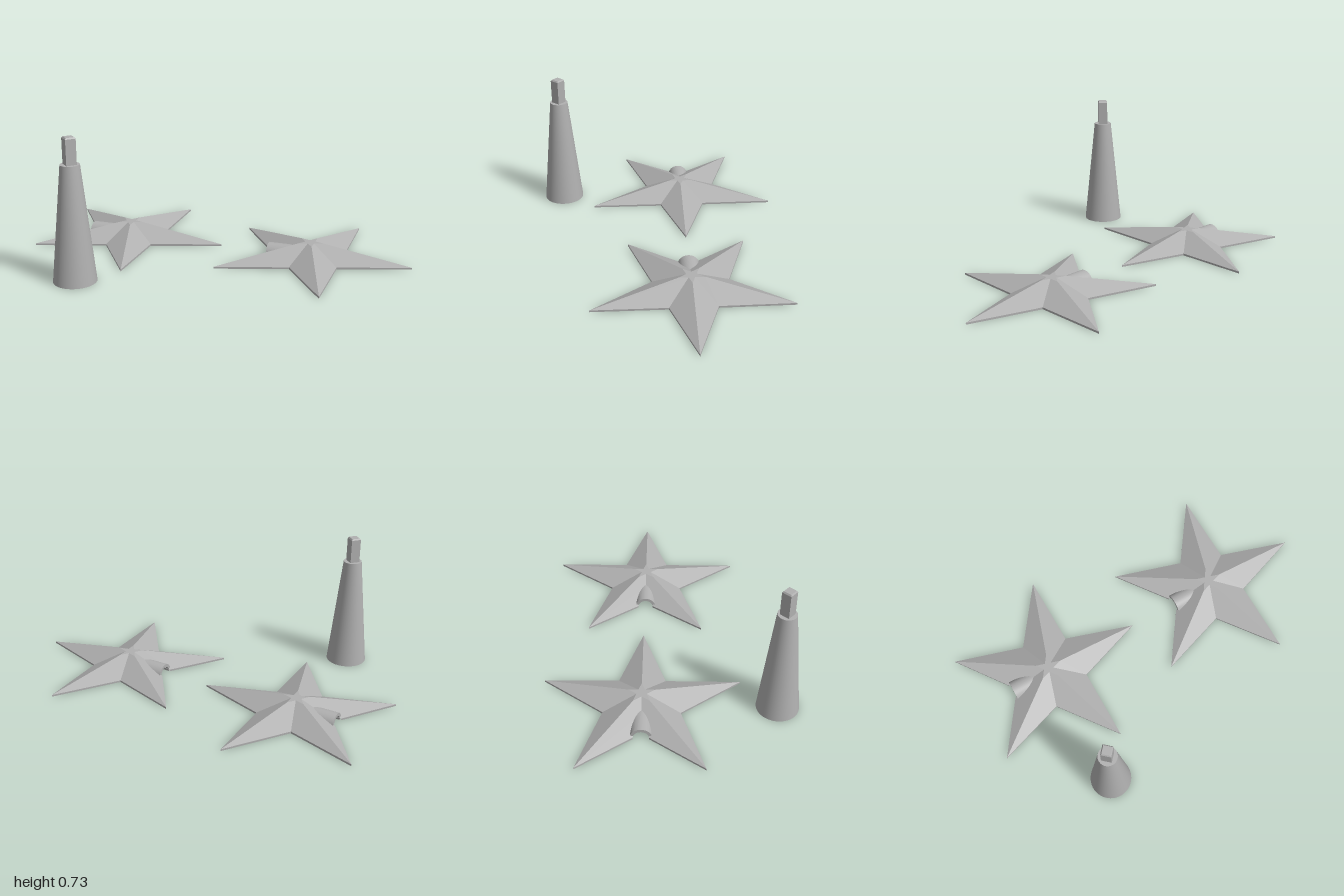
import * as THREE from 'three';

const TIP = 0.527, NOTCH = 0.204, EDGE = 0.01, TOP = 0.085, CUT = 0.133;
const BORE = 0.04, SOCKET_END = 0.11;

// Point at radius r, height y, at a number of 36 degree steps
const at = (r, y, step) => {
  const a = step * Math.PI / 5;
  return [r * Math.cos(a), y, r * Math.sin(a)];
};

// Faceted star with a slot cut into the notch on local +x
function starGeometry() {
  const pos = [];
  const fan = (pts) => {
    for (let i = 1; i < pts.length - 1; i++) pos.push(...pts[0], ...pts[i], ...pts[i + 1]);
  };
  const tip0 = at(TIP, 0, 1);
  const slotX = NOTCH + BORE * (tip0[0] - NOTCH) / tip0[2];
  const valleyY = EDGE + (TOP - EDGE) * (NOTCH - SOCKET_END) / (NOTCH * (1 - CUT));
  const centre = [0, 0, 0];

  for (let k = 0; k < 10; k += 2) {
    for (const side of [1, -1]) {
      const order = (pts) => fan(side > 0 ? pts : pts.slice().reverse());
      const tip = k + side;
      // The slotted notch starts further out along its edge
      const edge = (y) => (k === 0 ? [slotX, y, side * BORE] : at(NOTCH, y, k));
      const roof = [at(TIP, EDGE, tip), edge(EDGE)];
      if (k === 0) roof.push([SOCKET_END, valleyY, 0]);
      roof.push(at(NOTCH * CUT, TOP, k), at(TIP * CUT, TOP, tip));
      order(roof);
      // Flat crown, rim wall and underside
      order([[0, TOP, 0], at(TIP * CUT, TOP, tip), at(NOTCH * CUT, TOP, k)]);
      order([edge(0), edge(EDGE), at(TIP, EDGE, tip), at(TIP, 0, tip)]);
      if (k === 0) {
        const s = [SOCKET_END, 0, side * BORE];
        order([s, edge(0), at(TIP, 0, tip)]);
        order([s, at(TIP, 0, tip), centre]);
      } else {
        order([centre, edge(0), at(TIP, 0, tip)]);
      }
    }
  }
  fan([centre, [SOCKET_END, 0, -BORE], [SOCKET_END, 0, BORE]]);

  const geo = new THREE.BufferGeometry();
  geo.setAttribute('position', new THREE.Float32BufferAttribute(pos, 3));
  geo.computeVertexNormals();
  return geo;
}

// Half-round socket lying along local +x
function socketGeometry() {
  const s = new THREE.Shape();
  s.absarc(0, 0, 0.056, 0, Math.PI, false);
  s.absarc(0, 0, BORE, Math.PI, 0, true);
  const geo = new THREE.ExtrudeGeometry(s, { depth: 0.135, bevelEnabled: false, curveSegments: 20 });
  return geo.rotateY(Math.PI / 2).translate(0.09, 0, 0);
}

export function createModel() {
  const root = new THREE.Group();
  const grey = new THREE.MeshStandardMaterial({ color: 0xb0b0b0 });
  grey.name = 'plain grey';
  const add = (parent, name, geo) => {
    const m = new THREE.Mesh(geo, grey);
    m.name = name;
    parent.add(m);
    return m;
  };

  // Two matching star halves
  const starGeo = starGeometry(), socketGeo = socketGeometry();
  const endGeo = new THREE.CircleGeometry(0.045, 20, 0, Math.PI)
    .rotateY(Math.PI / 2).translate(SOCKET_END, 0, 0);
  [['backStar', -0.513, -0.159], ['frontStar', 0.477, 0.077]].forEach(([name, x, z]) => {
    const star = new THREE.Group();
    star.name = name;
    add(star, 'starBody', starGeo);
    add(star, 'halfSocket', socketGeo);
    add(star, 'socketEnd', endGeo);
    star.position.set(x, 0, z);
    star.rotation.y = Math.PI - 0.228;
    root.add(star);
  });

  // Hollow tapered stand with a square peg
  const stand = new THREE.Group();
  stand.name = 'stand';
  stand.position.set(-0.665, 0, 0.502);
  root.add(stand);
  const surface = (pts) => new THREE.LatheGeometry(pts.map((p) => new THREE.Vector2(...p)), 48);
  add(stand, 'outerCone', surface([[0.108, 0], [0.048, 0.592]]));
  add(stand, 'coneTop', surface([[0.048, 0.592], [0, 0.592]]));
  add(stand, 'innerCone', surface([[0, 0.57], [0.034, 0.57], [0.092, 0]]));
  add(stand, 'bottomRim', surface([[0.092, 0], [0.108, 0]]));

  const peg = new THREE.Group();
  peg.name = 'peg';
  peg.rotation.y = -0.18;
  stand.add(peg);
  const square = (rTop, rBottom, y0, y1) => new THREE.CylinderGeometry(rTop, rBottom, y1 - y0, 4)
    .toNonIndexed().translate(0, (y0 + y1) / 2, 0);
  [['pegShaft', square(0.037, 0.037, 0.585, 0.719)], ['pegChamfer', square(0.03, 0.037, 0.719, 0.726)]]
    .forEach(([name, geo]) => {
      geo.computeVertexNormals();
      add(peg, name, geo);
    });
  return root;
}
